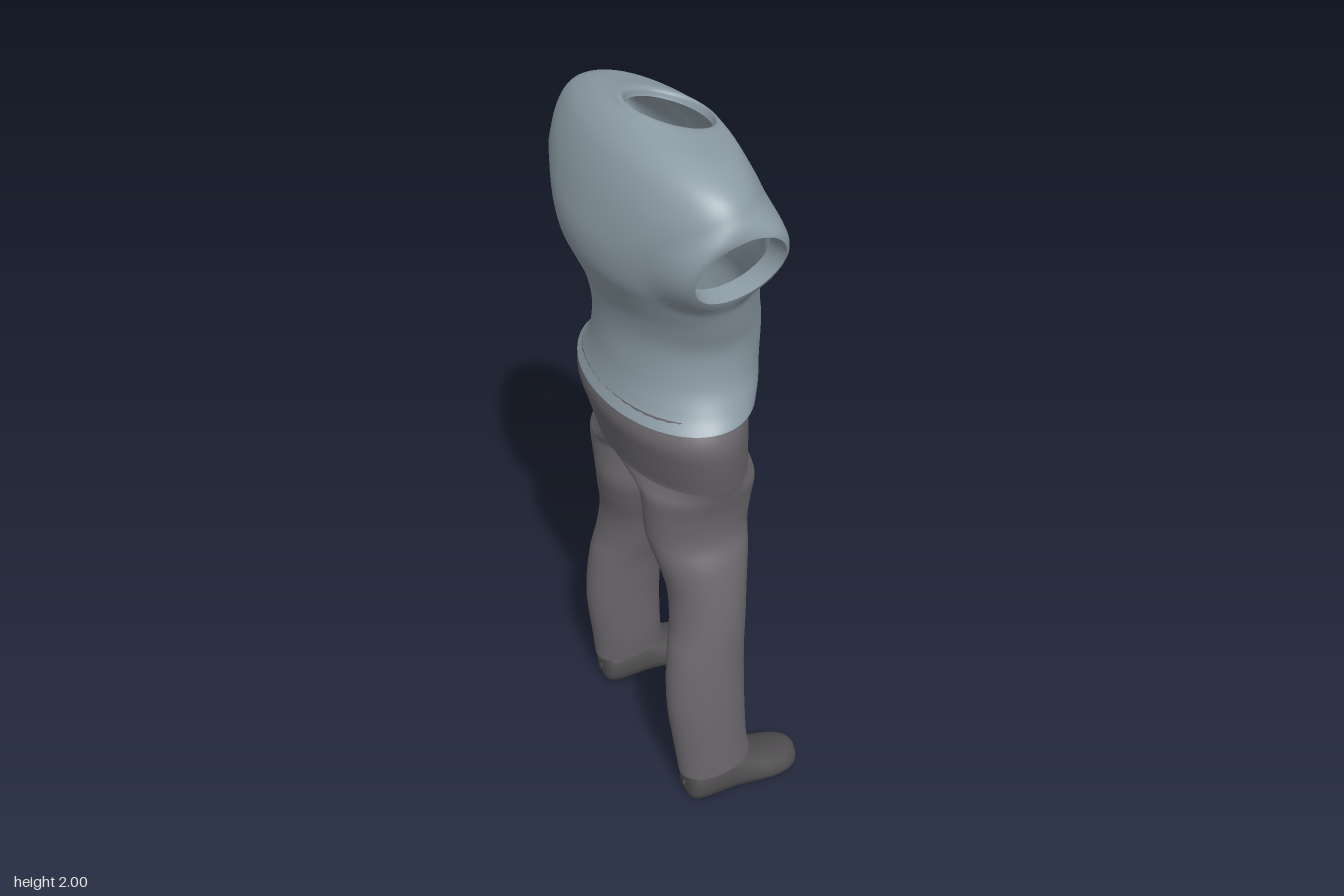
import * as THREE from 'three';

const material = (name, color) => {
  const m = new THREE.MeshStandardMaterial({ color, side: THREE.DoubleSide });
  m.name = name;
  return m;
};

// Smoothly resample a table of cross-sections into n + 1 rows
function resample(table, n) {
  const curve = new THREE.CubicInterpolant(table.map((_, i) => i), table.flat(), table[0].length);
  return Array.from({ length: n + 1 }, (_, i) => [...curve.evaluate((i / n) * (table.length - 1))]);
}

// Skin closed rings of points; keep(i, j, k) may leave out quads
function loft(rows, flip = false, keep = () => true) {
  const cols = rows[0].length, index = [];
  for (let i = 0; i < rows.length - 1; i++) {
    for (let j = 0; j < cols; j++) {
      const k = (j + 1) % cols;
      if (!keep(i, j, k)) continue;
      const a = i * cols + j, b = i * cols + k, c = a + cols, d = b + cols;
      if (flip) index.push(a, b, c, b, d, c);
      else index.push(a, c, b, b, c, d);
    }
  }
  const g = new THREE.BufferGeometry();
  g.setAttribute('position', new THREE.Float32BufferAttribute(rows.flat(2), 3));
  g.setIndex(index);
  g.computeVertexNormals();
  return g;
}

const ring = (n, f) => Array.from({ length: n }, (_, j) => f((j / n) * Math.PI * 2));

// Sleeve opening: a tilted ellipse seen from the side, on a slanted plane
const HOLE = { x: -0.02, y: 1.74, rx: 0.112, ry: 0.092, tilt: 0.3 };
const cs = Math.cos(HOLE.tilt), sn = Math.sin(HOLE.tilt);
const holePoint = (u, v) => [
  HOLE.x + u * HOLE.rx * cs - v * HOLE.ry * sn,
  HOLE.y + u * HOLE.rx * sn + v * HOLE.ry * cs,
];
const holeCoords = (x, y) => {
  const dx = x - HOLE.x, dy = y - HOLE.y;
  return [(dx * cs + dy * sn) / HOLE.rx, (dy * cs - dx * sn) / HOLE.ry];
};
const sleeveZ = y => Math.min(0.4, 0.33 + (y - 1.64) * 0.37);

function shirtGeometry() {
  // y, back x, front x, half width, tilt
  const rows = resample([
    [1.265, -0.21, 0.172, 0.312, -0.05],
    [1.3, -0.195, 0.188, 0.287, -0.03],
    [1.36, -0.183, 0.198, 0.26, 0],
    [1.45, -0.18, 0.203, 0.255, 0],
    [1.53, -0.193, 0.187, 0.28, 0],
    [1.6, -0.222, 0.18, 0.305, 0],
    [1.66, -0.247, 0.181, 0.33, 0],
    [1.73, -0.254, 0.176, 0.358, 0],
    [1.8, -0.243, 0.16, 0.39, 0],
    [1.86, -0.222, 0.142, 0.39, 0.06],
    [1.91, -0.19, 0.122, 0.355, 0.16],
    [1.947, -0.155, 0.108, 0.28, 0.2],
    [1.963, -0.125, 0.104, 0.19, 0.26],
    [1.97, -0.111, 0.1, 0.122, 0.3],
    [1.95, -0.1, 0.091, 0.11, 0.3],
  ], 84).map(([y, xb, xf, w, tilt]) => ring(96, a => {
    const x = (xb + xf) / 2 + ((xf - xb) / 2) * Math.cos(a);
    return [x, Math.min(2, y - tilt * x), w * Math.sin(a)];
  }));

  // Cut the sleeve openings and square off the cloth around them
  const inside = rows.map(r => r.map(p => {
    if (Math.abs(p[2]) < 0.17) return false;
    const [u, v] = holeCoords(p[0], p[1]), d = Math.hypot(u, v);
    if (d > 1.6) return false;
    const side = Math.sign(p[2]);
    if (d < 1) [p[0], p[1]] = holePoint(u / (d || 1), v / (d || 1));
    const w = 1 - THREE.MathUtils.smoothstep(d, 1, 1.6);
    p[2] = side * THREE.MathUtils.lerp(Math.abs(p[2]), sleeveZ(p[1]), w);
    return d < 1;
  }));
  return loft(rows, false, (i, j, k) =>
    !(inside[i][j] && inside[i][k] && inside[i + 1][j] && inside[i + 1][k]));
}

// Turned-in cuff lining the sleeve opening
function cuffGeometry(s) {
  const rows = [[1, 0], [0.98, 0.015], [0.94, 0.04], [0.93, 0.06]].map(([scale, depth]) =>
    ring(40, a => {
      const [x, y] = holePoint(scale * Math.cos(a), scale * Math.sin(a));
      return [x, y, s * (sleeveZ(y) - depth)];
    }));
  return loft(rows, s < 0);
}

// One trouser leg with its half of the hips, from hem to waist
function legGeometry(s) {
  // y, back x, front x, outer z, middle z, inner z
  const lower = resample([
    [0.11, -0.11, 0.1, 0.335, 0.265, 0.195],
    [0.2, -0.122, 0.09, 0.336, 0.258, 0.18],
    [0.35, -0.138, 0.084, 0.334, 0.25, 0.167],
    [0.5, -0.13, 0.085, 0.326, 0.237, 0.148],
    [0.6, -0.11, 0.093, 0.32, 0.22, 0.12],
    [0.7, -0.106, 0.105, 0.305, 0.197, 0.09],
    [0.8, -0.128, 0.125, 0.28, 0.166, 0.053],
    [0.87, -0.143, 0.136, 0.252, 0.144, 0.036],
    [0.95, -0.15, 0.145, 0.255, 0.145, 0.035],
    [1.01, -0.156, 0.153, 0.27, 0.135, 0.028],
    [1.04, -0.16, 0.157, 0.279, 0.07, 0.01],
    [1.06, -0.165, 0.159, 0.286, 0, 0],
  ], 55);
  const hips = resample([
    lower[lower.length - 1],
    [1.15, -0.19, 0.151, 0.308, 0, 0],
    [1.22, -0.208, 0.148, 0.315, 0, 0],
    [1.285, -0.198, 0.155, 0.288, 0, 0],
  ], 14);
  const n = 48;
  const rows = [...lower, ...hips.slice(1)].map(([y, xb, xf, zo, zc, zi], i) => ring(n, a => {
    const x = (xb + xf) / 2 + ((xf - xb) / 2) * Math.cos(a), t = Math.sin(a);
    const hem = i < 4 ? 0.15 * x * (1 - i / 4) : 0;
    return [x, y + hem, s * (zc + t * (t > 0 ? zo - zc : zc - zi))];
  }));
  // Above the crotch only the outer half exists
  return loft(rows, s < 0, (i, j) => i < lower.length - 1 || j < n / 2);
}

// Shoe skinned from heel to toe
function shoeGeometry(s) {
  // x, half width, height, sole lift
  const rows = resample([
    [-0.098, 0.004, 0.06, 0.04],
    [-0.092, 0.038, 0.1, 0.012],
    [-0.07, 0.056, 0.125, 0.004],
    [-0.02, 0.061, 0.138, 0.003],
    [0.04, 0.064, 0.138, 0.004],
    [0.1, 0.073, 0.108, 0.003],
    [0.16, 0.077, 0.083, 0.001],
    [0.21, 0.066, 0.07, 0.002],
    [0.24, 0.042, 0.06, 0.01],
    [0.253, 0.004, 0.042, 0.03],
  ], 36).map(([x, w, h, lift]) => ring(28, a => {
    const c = Math.cos(a), t = Math.sin(a), waist = lift + (h - lift) * 0.35;
    const y = t > 0 ? waist + (h - waist) * t : waist + (waist - lift) * Math.max(-1, t * 1.35);
    return [x, Math.max(0, y), s * (0.265 + w * c)];
  }));
  return loft(rows, s < 0);
}

export function createModel() {
  const model = new THREE.Group();
  model.name = 'clothedFigure';
  const cloth = material('blueGreyCloth', 0x8c9ba5);
  const trouser = material('greyTrousers', 0x6c696d);
  const leather = material('darkShoes', 0x4e4c4e);
  const add = (name, geometry, mat) => {
    const mesh = new THREE.Mesh(geometry, mat);
    mesh.name = name;
    model.add(mesh);
  };

  add('shirt', shirtGeometry(), cloth);
  for (const [s, side] of [[1, 'positiveZ'], [-1, 'negativeZ']]) {
    add(`${side}SleeveCuff`, cuffGeometry(s), cloth);
    add(`${side}TrouserLeg`, legGeometry(s), trouser);
    add(`${side}Shoe`, shoeGeometry(s), leather);
  }
  return model;
}
